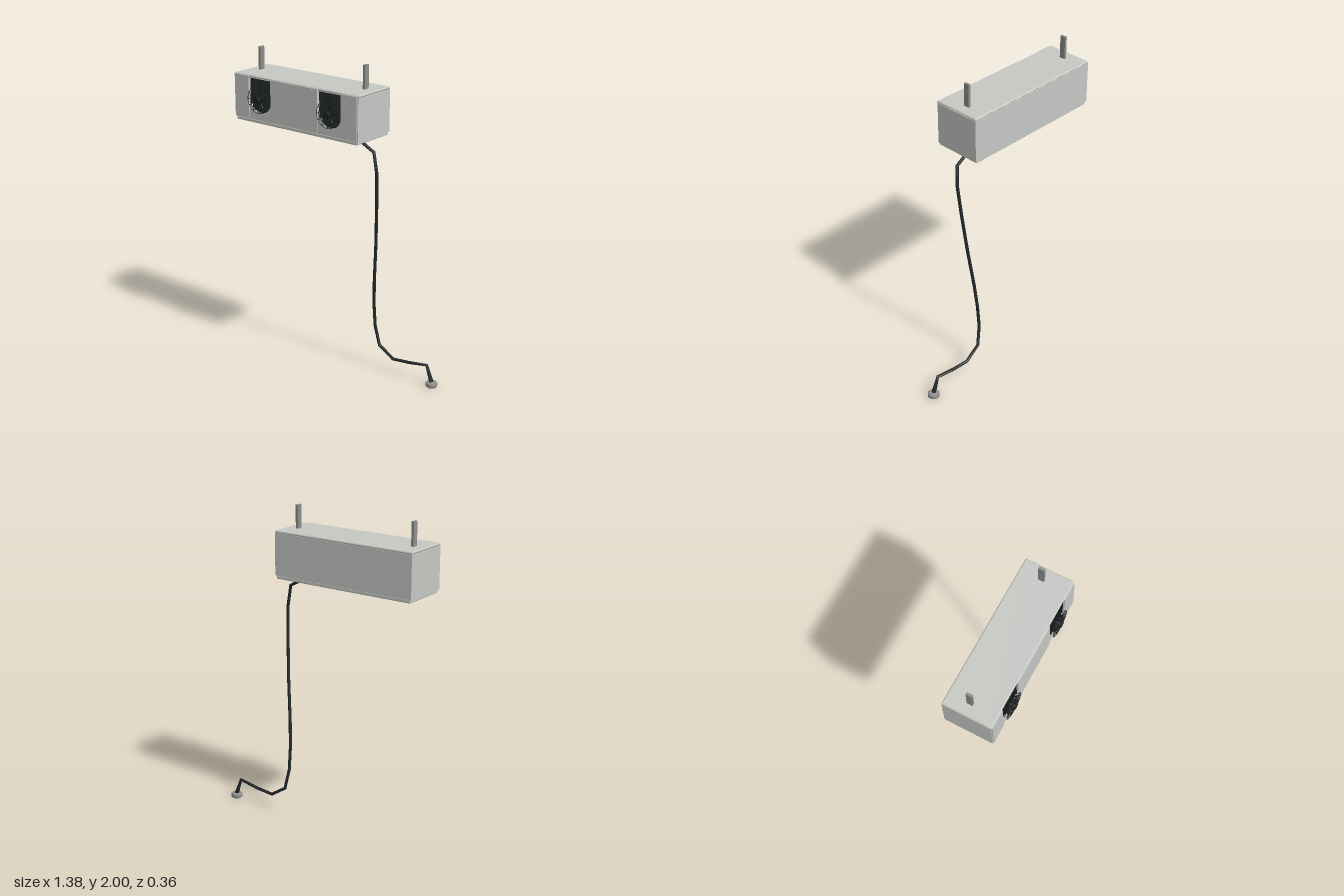
import * as THREE from 'three';
import { mergeGeometries } from 'three/addons/utils/BufferGeometryUtils.js';

const V = (x, y, z) => new THREE.Vector3(x, y, z);
const mat = (name, color, extra = {}) => Object.assign(new THREE.MeshStandardMaterial({ color, ...extra }), { name });

// housing extents
const X0 = -0.692, X1 = 0.282, Z0 = -0.167, Z1 = 0.138, CX = (X0 + X1) / 2;
const FAN_X = [-0.48, 0.07], FAN_Y = 1.713, R = 0.088, TOP = 1.838;

function box(x0, x1, y0, y1, z0, z1) {
  return new THREE.BoxGeometry(x1 - x0, y1 - y0, z1 - z0)
    .translate((x0 + x1) / 2, (y0 + y1) / 2, (z0 + z1) / 2);
}

// horizontal slab with chamfered edges
function slab(x0, x1, z0, z1, y0, y1, b) {
  const s = new THREE.Shape([
    new THREE.Vector2(x0 + b, -z1 + b), new THREE.Vector2(x1 - b, -z1 + b),
    new THREE.Vector2(x1 - b, -z0 - b), new THREE.Vector2(x0 + b, -z0 - b)]);
  return new THREE.ExtrudeGeometry(s, {
    depth: y1 - y0 - 2 * b, bevelSize: b, bevelThickness: b, bevelSegments: 1,
  }).rotateX(-Math.PI / 2).translate(0, y0 + b, 0);
}

// housing front with two arched fan openings
function frontWall() {
  const s = new THREE.Shape([
    new THREE.Vector2(X0, 1.577), new THREE.Vector2(X1, 1.577),
    new THREE.Vector2(X1, 1.84), new THREE.Vector2(X0, 1.84)]);
  for (const x of FAN_X) {
    const h = new THREE.Path();
    h.moveTo(x - R, TOP);
    h.lineTo(x - R, FAN_Y);
    h.absarc(x, FAN_Y, R, Math.PI, 2 * Math.PI, false);
    h.lineTo(x + R, TOP);
    h.closePath();
    s.holes.push(h);
  }
  return new THREE.ExtrudeGeometry(s, { depth: 0.04, bevelEnabled: false, curveSegments: 16 })
    .translate(0, 0, Z1 - 0.04);
}

// deep slats and cross wires filling the arched opening
function slats() {
  const parts = [], t = 0.0016;
  for (let i = -5; i <= 5; i++) {
    const x = i * 0.0158;
    const low = -Math.sqrt(R * R - x * x);
    parts.push(box(x - t, x + t, low, TOP - FAN_Y, 0.102, 0.137));
  }
  for (let y = -0.07; y < 0.085; y += 0.0175) {
    const w = y < 0 ? Math.sqrt(R * R - y * y) : R;
    parts.push(box(-w, w, y - t, y + t, 0.122, 0.13));
  }
  return mergeGeometries(parts);
}

// round wire guard
function guard() {
  const parts = [0.028, 0.046, 0.064, 0.083].map(r => new THREE.TorusGeometry(r, 0.0018, 5, 28));
  for (let i = 0; i < 12; i++) {
    parts.push(new THREE.BoxGeometry(0.066, 0.0028, 0.0028)
      .translate(0.05, 0, 0).rotateZ(i * Math.PI / 6));
  }
  return mergeGeometries(parts.map(g => g.translate(0, 0, 0.162)));
}

// tilted fan blades
function blades() {
  const s = new THREE.Shape();
  s.moveTo(0.012, -0.007);
  s.lineTo(0.054, -0.016);
  s.quadraticCurveTo(0.066, 0, 0.056, 0.012);
  s.lineTo(0.012, 0.007);
  const list = [];
  for (let i = 0; i < 5; i++) {
    list.push(new THREE.ExtrudeGeometry(s, { depth: 0.003, bevelEnabled: false, curveSegments: 4 })
      .rotateX(0.35).rotateZ(i * Math.PI * 0.4 + 0.1).translate(0, 0, 0.148));
  }
  return mergeGeometries(list);
}

// curve with straight runs between given points, sampled exactly at them
class Polyline extends THREE.Curve {
  constructor(pts) { super(); this.pts = pts; }
  getPoint(t) {
    const n = this.pts.length - 1, f = t * n, i = Math.min(Math.floor(f + 1e-6), n - 1);
    return this.pts[i].clone().lerp(this.pts[i + 1], f - i);
  }
  getPointAt(u) { return this.getPoint(u); }
  getTangentAt(u) {
    const n = this.pts.length - 1, i = Math.round(u * n), d = V(0, 0, 0);
    if (i > 0) d.add(this.pts[i].clone().sub(this.pts[i - 1]).normalize());
    if (i < n) d.add(this.pts[i + 1].clone().sub(this.pts[i]).normalize());
    return d.normalize();
  }
}

export function createModel() {
  const model = new THREE.Group();
  const shell = mat('light grey casing', 0xc6c8c4);
  const steel = mat('mid grey metal', 0x8c8e8c);
  const black = mat('black fan', 0x1c2020);
  const cableMat = mat('dark cable', 0x222828, { side: THREE.DoubleSide });
  const add = (name, geo, m, parent = model) => {
    const mesh = new THREE.Mesh(geo, m);
    mesh.name = name;
    parent.add(mesh);
    return mesh;
  };

  // casing
  add('housing', box(X0, X1, 1.577, 1.84, Z0, Z1 - 0.04), shell);
  add('frontWall', frontWall(), shell);
  add('roof', slab(X0, X1, Z0, Z1, 1.84, 1.855, 0.005), shell);
  add('basePlate', slab(X0 + 0.01, X1 - 0.01, Z0 + 0.004, Z1 - 0.002, 1.556, 1.578, 0.004), shell);

  // raised panels between the fans
  for (const [a, b] of [[X0 + 0.006, -0.57], [-0.392, -0.02], [0.158, X1 - 0.006]]) {
    add('frontPanel', box(a, b, 1.58, 1.848, Z1 - 0.001, 0.145), shell);
  }

  // hanging brackets
  for (const x of [-0.617, 0.207]) {
    add('hanger', box(x - 0.008, x + 0.008, 1.85, 2, -0.047, -0.01), steel);
  }

  // fans
  for (const x of FAN_X) {
    const fan = new THREE.Group();
    fan.name = 'fan';
    fan.position.set(x, FAN_Y, 0);
    add('slats', slats(), black, fan);
    add('guard', guard(), black, fan);
    add('blades', blades(), black, fan);
    add('hub', new THREE.CylinderGeometry(0.019, 0.019, 0.036, 16)
      .rotateX(Math.PI / 2).translate(0, 0, 0.159), black, fan);
    add('shaft', new THREE.CylinderGeometry(0.008, 0.008, 0.055, 10)
      .rotateX(Math.PI / 2).translate(0, 0, 0.12), black, fan);
    model.add(fan);
  }

  // hanging cable
  const path = [[0.17, 1.545, -0.01], [0.283, 1.483, -0.015], [0.297, 1.35, -0.027],
    [0.285, 1.15, -0.046], [0.263, 0.88, -0.072], [0.235, 0.62, -0.097], [0.223, 0.45, -0.113],
    [0.223, 0.3, -0.127], [0.25, 0.165, -0.14], [0.355, 0.097, -0.145], [0.48, 0.11, -0.147],
    [0.613, 0.134, -0.147], [0.652, 0.03, -0.147]].map(p => V(...p));
  add('cable', new THREE.TubeGeometry(new Polyline(path), path.length - 1, 0.01, 8), cableMat);

  // flared cable end and its round foot
  const end = add('cableEnd', new THREE.CylinderGeometry(0.009, 0.014, 0.1, 8), cableMat);
  end.position.set(0.634, 0.078, -0.147);
  end.rotation.z = 0.36;
  const foot = [[0, 0], [0.031, 0], [0.037, 0.006], [0.037, 0.024], [0.031, 0.03], [0, 0.032]];
  add('plugFoot', new THREE.LatheGeometry(foot.map(p => new THREE.Vector2(...p)), 16)
    .translate(0.653, 0, -0.147), steel);

  return model;
}
